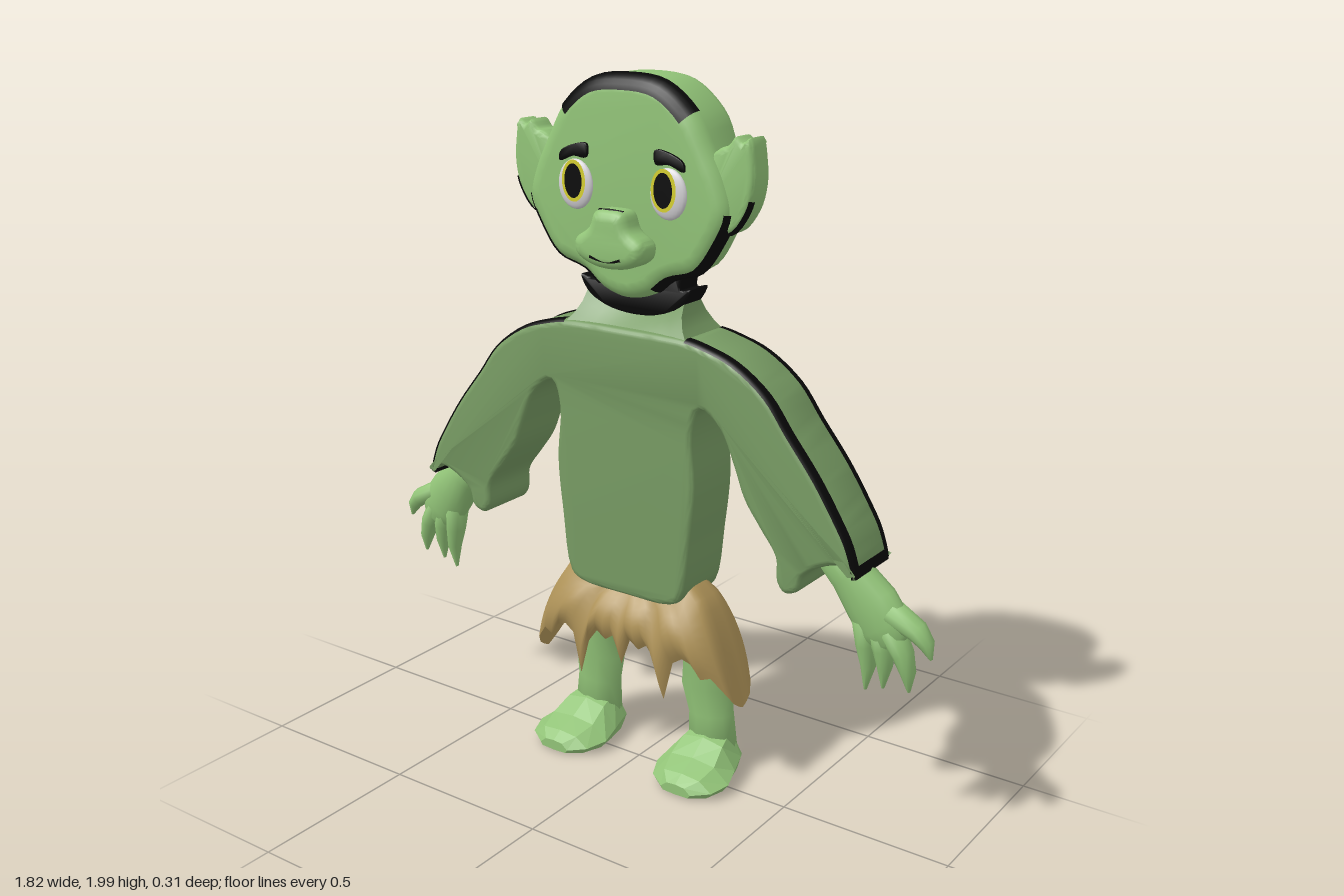
import * as THREE from 'three';
import { toCreasedNormals } from 'three/addons/utils/BufferGeometryUtils.js';

const mat = (name, color, side = THREE.FrontSide) => {
  const m = new THREE.MeshStandardMaterial({ color, side });
  m.name = name;
  return m;
};

const K = 4; // samples per outline point

// Smooth closed outline from [x, y] points
function smooth(points) {
  const curve = new THREE.CatmullRomCurve3(points.map(([x, y]) => new THREE.Vector3(x, y, 0)), true);
  return curve.getPoints(points.length * K).slice(0, -1);
}

// Right half (top to bottom, both ends on x = 0) mirrored to a full outline
const symmetric = (half) =>
  smooth([...half, ...half.slice(1, -1).reverse().map(([x, y]) => [-x, y])]);

// Outline thickened between z0 and z1 with rounded edges
function slab(outline, z0, z1, b) {
  const shape = new THREE.Shape(outline.map((p) => new THREE.Vector2(p.x, p.y)));
  const geo = new THREE.ExtrudeGeometry(shape, {
    depth: z1 - z0 - 2 * b, bevelSize: b, bevelThickness: b, bevelOffset: -b, bevelSegments: 4,
  });
  geo.translate(0, 0, z0 + b);
  return toCreasedNormals(geo, 0.7);
}

// Skin over rings of equal point counts
function loft(rings, closed = true, flat = false) {
  const n = rings[0].length, index = [];
  for (let r = 0; r < rings.length - 1; r++) {
    for (let i = 0; i < (closed ? n : n - 1); i++) {
      const a = r * n + i, b = r * n + ((i + 1) % n);
      index.push(a, a + n, b, b, a + n, b + n);
    }
  }
  let geo = new THREE.BufferGeometry().setFromPoints(rings.flat());
  geo.setIndex(index);
  if (flat) geo = geo.toNonIndexed();
  geo.computeVertexNormals();
  return geo;
}

// Tapered limb along stations [x, y, z, half width, half depth]
function limb(stations, sides = 12) {
  const rings = stations.map(([x, y, z, rw, rz], i) => {
    const p = stations[Math.max(i - 1, 0)], q = stations[Math.min(i + 1, stations.length - 1)];
    const t = new THREE.Vector2(q[0] - p[0], q[1] - p[1]).normalize();
    return Array.from({ length: sides }, (_, k) => {
      const a = (k / sides) * Math.PI * 2, c = Math.cos(a) * rw;
      return new THREE.Vector3(x - t.y * c, y + t.x * c, z - Math.sin(a) * rz);
    });
  });
  const point = ([x, y, z]) => Array.from({ length: sides }, () => new THREE.Vector3(x, y, z));
  return loft([point(stations[0]), ...rings, point(stations.at(-1))]);
}

// Band hugging the rounded edge of a slab: a strip of its wall, then part (sweep) of its bevel.
// dir is +1 for the front edge, -1 for the back edge
function edgeBand(path, b, z, wall, sweep, dir = 1) {
  const R = b + 0.004;
  const rings = path.map((p, i) => {
    const t = path[Math.min(i + 1, path.length - 1)].clone().sub(path[Math.max(i - 1, 0)]).normalize();
    const profile = [[-0.004, z - dir * (b + wall)]];
    for (let k = 0; k <= 5; k++) {
      const a = (k / 5) * sweep;
      profile.push([b - Math.cos(a) * R, z - dir * (b - Math.sin(a) * R)]);
    }
    if (dir < 0) profile.reverse();
    return profile.map(([inset, pz]) => new THREE.Vector3(p.x + t.y * inset, p.y - t.x * inset, pz));
  });
  return loft(rings, false);
}

export function createModel() {
  const skin = mat('skin green', 0x92c478), shirtGreen = mat('shirt green', 0x789c64);
  const black = mat('black', 0x080808, THREE.DoubleSide);
  const brown = mat('skirt brown', 0xb09459, THREE.DoubleSide);
  const white = mat('eye white', 0xd8d6da), yellow = mat('iris yellow', 0xd6d030);

  const model = new THREE.Group();
  const add = (name, geo, material, parent = model) => {
    const mesh = new THREE.Mesh(geo, material);
    mesh.name = name;
    parent.add(mesh);
    return mesh;
  };
  const left = new THREE.Group();
  left.name = 'leftSide';

  // Head, narrower towards the back
  const headLine = symmetric([[0, 1.995], [0.116, 1.98], [0.21, 1.91], [0.264, 1.82], [0.305, 1.74],
    [0.325, 1.66], [0.29, 1.58], [0.228, 1.5], [0.14, 1.47], [0.08, 1.425], [0, 1.405]]);
  const head = slab(headLine, -0.125, 0.08, 0.045);
  const hp = head.attributes.position;
  for (let i = 0; i < hp.count; i++) {
    const back = Math.max(0, 0.02 - hp.getZ(i)) / 0.145;
    const low = THREE.MathUtils.smoothstep(1.9 - hp.getY(i), 0, 0.2);
    hp.setX(i, hp.getX(i) * (1 - back * (0.04 + 0.14 * low)));
  }
  add('head', toCreasedNormals(head, 0.7), skin);
  add('hairline', edgeBand([...headLine.slice(-2 * K), ...headLine.slice(0, 2 * K + 1)], 0.045, 0.08, 0, 1.45), black);
  add('jawLine', edgeBand(headLine.slice(5 * K, 9 * K), 0.045, 0.08, 0, 0.85), black, left);
  const earLine = smooth([[0.235, 1.78], [0.28, 1.825], [0.306, 1.835], [0.328, 1.858], [0.348, 1.845], [0.37, 1.857],
    [0.384, 1.8], [0.386, 1.735], [0.366, 1.667], [0.315, 1.61], [0.235, 1.63]]);
  add('ear', slab(earLine, -0.03, 0.055, 0.018), skin, left);
  add('earLine', edgeBand(earLine.slice(7.5 * K, 9 * K + 1), 0.018, 0.055, 0, 0.9), black, left);

  // Nose and mouth
  add('nose', slab(symmetric([[0, 1.655], [0.045, 1.648], [0.065, 1.605], [0.11, 1.57], [0.105, 1.53],
    [0.06, 1.505], [0, 1.497]]), 0.06, 0.155, 0.03), skin);
  const line = (pts) => new THREE.TubeGeometry(
    new THREE.CatmullRomCurve3(pts.map((p) => new THREE.Vector3(...p))), 16, 0.004, 5);
  add('mouth', line([[-0.05, 1.53, 0.154], [0, 1.519, 0.15], [0.05, 1.53, 0.154]]), black);
  add('noseCrease', line([[-0.04, 1.65, 0.125], [0, 1.653, 0.13], [0.04, 1.65, 0.125]]), black);

  // Eyes and brows
  const ball = add('eyeWhite', new THREE.SphereGeometry(1, 24, 16), white, left);
  ball.scale.set(0.057, 0.067, 0.017);
  ball.position.set(0.15, 1.702, 0.08);
  [['iris', yellow, 0.039, 0.056, 0.098], ['pupil', black, 0.029, 0.046, 0.1]].forEach(([name, m, rx, ry, z]) => {
    const disc = add(name, new THREE.CircleGeometry(1, 24), m, left);
    disc.scale.set(rx, ry, 1);
    disc.position.set(0.145, 1.713, z);
  });
  add('eyebrow', slab(smooth([[0.11, 1.812], [0.16, 1.806], [0.198, 1.785], [0.2, 1.762], [0.155, 1.777],
    [0.112, 1.776]]), 0.079, 0.088, 0.002), black, left);

  // Collar and neck
  add('collar', slab(symmetric([[0, 1.49], [0.15, 1.49], [0.15, 1.44], [0.182, 1.445], [0.158, 1.4],
    [0.1, 1.368], [0, 1.355]]), -0.062, 0.024, 0.006), black);
  const neck = new THREE.BoxGeometry(2, 1, 2, 10, 3, 2);
  const np = neck.attributes.position;
  for (let i = 0; i < np.count; i++) {
    const x = np.getX(i), t = np.getY(i) + 0.5;
    const top = 1.355 + 0.05 * x * x;
    np.setXYZ(i, x * (0.16 + 0.045 * (1 - t) ** 2), 1.31 + (top - 1.31) * t,
      -0.02 + np.getZ(i) * (0.095 - 0.055 * t));
  }
  neck.computeVertexNormals();
  add('neck', neck, shirtGreen);

  // Shirt with sleeves
  const shirtLine = symmetric([[0, 1.325], [0.12, 1.325], [0.2, 1.322], [0.26, 1.31], [0.35, 1.28], [0.45, 1.21],
    [0.52, 1.12], [0.6, 1.02], [0.66, 0.93], [0.705, 0.85], [0.725, 0.77], [0.69, 0.8], [0.62, 0.78], [0.575, 0.745],
    [0.56, 0.7], [0.52, 0.685], [0.495, 0.715], [0.49, 0.78], [0.44, 0.85], [0.39, 0.92], [0.354, 1.01],
    [0.31, 1.1], [0.25, 1.14], [0.225, 1.07], [0.235, 0.92], [0.22, 0.76], [0.19, 0.58], [0.15, 0.555], [0, 0.55]]);
  add('shirt', slab(shirtLine, -0.12, 0.08, 0.018), shirtGreen);
  const sleeve = shirtLine.slice(2 * K, 10 * K);
  add('frontSleeveStripe', edgeBand(sleeve, 0.018, 0.08, 0.012, 0.95), black, left);
  add('backSleeveStripe', edgeBand(sleeve, 0.018, -0.12, 0.012, 0.95, -1), black, left);
  const cuff = add('cuffEdge', new THREE.BoxGeometry(0.014, 0.03, 0.18), black, left);
  cuff.position.set(0.718, 0.786, -0.02);
  cuff.rotation.z = 0.25;

  // Hand and fingers
  add('hand', limb([[0.6, 0.82, -0.02, 0.06, 0.055], [0.67, 0.745, -0.02, 0.062, 0.052], [0.73, 0.68, -0.02, 0.078, 0.05],
    [0.77, 0.625, -0.02, 0.08, 0.045], [0.795, 0.59, -0.02, 0.06, 0.035], [0.805, 0.575, -0.02, 0.03, 0.02]], 16), skin, left);
  [[[0.79, 0.67], [0.865, 0.635], [0.893, 0.605], [0.907, 0.566]],
    [[0.79, 0.62], [0.828, 0.56], [0.845, 0.51], [0.85, 0.458]],
    [[0.755, 0.62], [0.772, 0.56], [0.778, 0.51], [0.775, 0.448]],
    [[0.715, 0.63], [0.722, 0.56], [0.73, 0.5], [0.724, 0.43]]].forEach((path) => {
    const radii = [0.034, 0.028, 0.02, 0.004];
    add('finger', limb(path.map(([x, y], i) => [x, y, -0.02, radii[i], radii[i] * 1.25]), 10), skin, left);
  });

  // Ragged skirt: one quarter of a rounded rectangle from side to front, mirrored both ways
  const hem = [0.265, 0.275, 0.29, 0.32, 0.37, 0.36, 0.4, 0.41, 0.39, 0.27, 0.38, 0.42, 0.4, 0.42, 0.34];
  const rounded = (v) => (1 - v ** 4) ** 0.25;
  const quarter = hem.map((h, i) => {
    const side = i * 0.21, front = (14 - i) * 0.084;
    return i < 4 ? [rounded(side), side, h] : [front, rounded(front), h];
  });
  const half = [...quarter, ...quarter.slice(0, -1).reverse().map(([u, v, h]) => [-u, v, h])];
  const around = [...half, ...half.slice(1, -1).reverse().map(([u, v, h]) => [u, -v, h])];
  const skirt = Array.from({ length: 11 }, (_, r) => {
    const t = 1 - r / 10;
    const rx = 0.195 + 0.155 * t ** 0.6, rz = 0.08 + 0.042 * Math.sin(t * Math.PI * 0.85);
    return around.map(([u, v, h]) => {
      const top = 0.55 + 0.06 * u ** 4;
      return new THREE.Vector3(u * rx, top + (h - top) * t, -0.012 + v * rz);
    });
  });
  add('skirt', loft(skirt), brown);

  // Leg and foot
  add('leg', limb([[0.208, 0.08, -0.08, 0.078, 0.055], [0.203, 0.18, -0.078, 0.072, 0.05], [0.192, 0.27, -0.07, 0.082, 0.055],
    [0.195, 0.4, -0.06, 0.07, 0.055], [0.15, 0.57, -0.03, 0.06, 0.06]], 10), skin, left);
  const foot = [[0.22, 0.132, 0.05, 0.03], [0.22, 0.1, 0.1, 0.05], [0.217, 0.04, 0.123, 0.072], [0.213, -0.02, 0.11, 0.11],
    [0.21, -0.09, 0.09, 0.13], [0.21, -0.135, 0.065, 0.075], [0.21, -0.15, 0.035, 0.05]].map(([x, z, w, h]) =>
    [[1, 0.35], [0.6, 0.9], [0, 1], [-0.6, 0.9], [-1, 0.35], [-0.85, 0], [0, -0.06], [0.85, 0]].map(([u, v]) =>
      new THREE.Vector3(x + u * w, 0.012 + v * h, z)));
  const tip = (ring, y) => ring.map(() => new THREE.Vector3(ring[2].x, y, ring[2].z));
  add('foot', loft([tip(foot[0], 0.025), ...foot, tip(foot.at(-1), 0.035)], true, true), skin, left);

  // Mirror the left side
  const right = left.clone();
  right.name = 'rightSide';
  right.scale.x = -1;
  model.add(left, right);
  return model;
}
